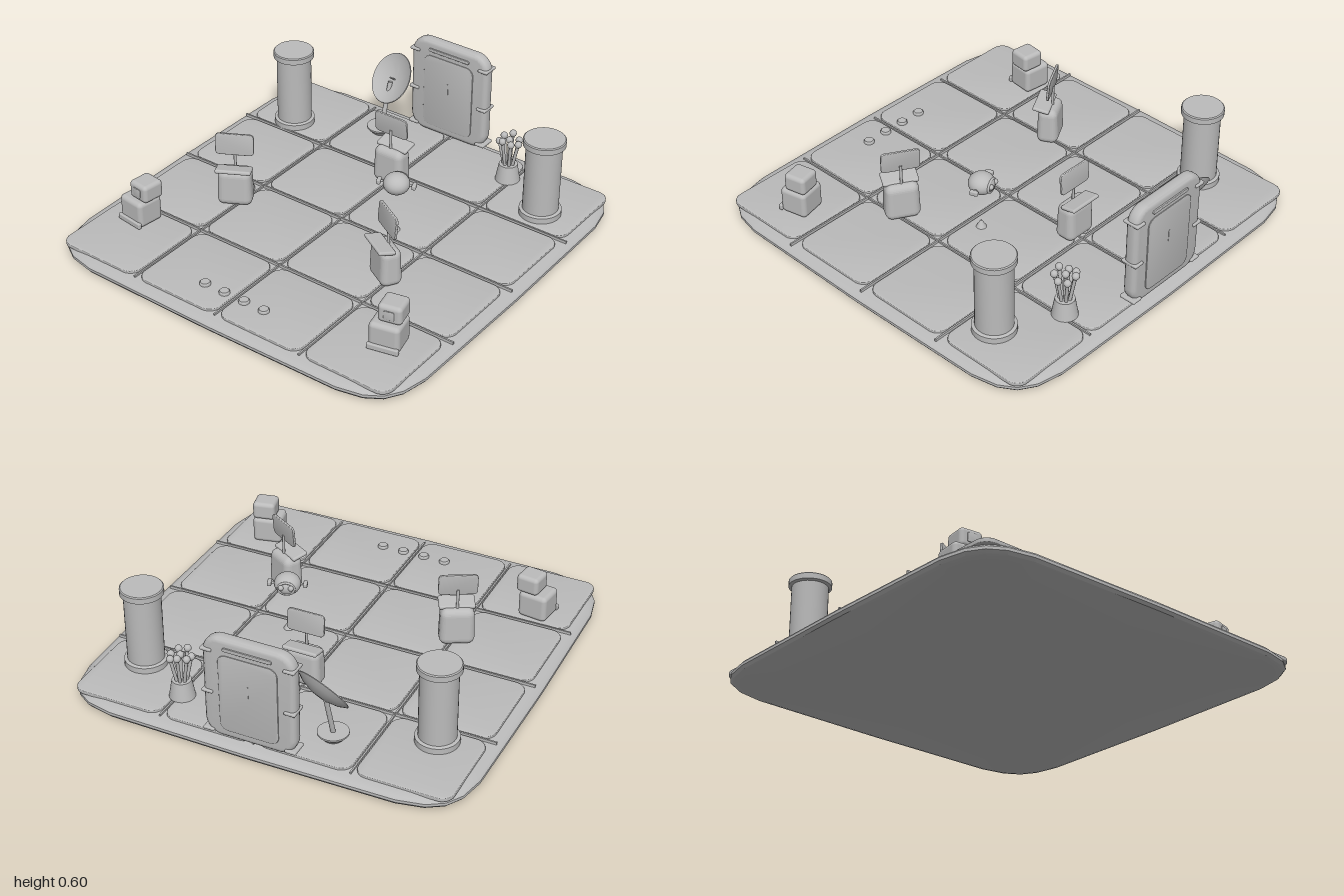
import * as THREE from 'three';
import { toCreasedNormals } from 'three/addons/utils/BufferGeometryUtils.js';
import { RoundedBoxGeometry } from 'three/addons/geometries/RoundedBoxGeometry.js';

const grey = new THREE.MeshStandardMaterial({ color: 0xbbbbbb, side: THREE.DoubleSide });
grey.name = 'plainGrey';

function add(parent, name, geometry, x = 0, y = 0, z = 0) {
  const mesh = new THREE.Mesh(geometry, grey);
  mesh.name = name;
  mesh.position.set(x, y, z);
  parent.add(mesh);
  return mesh;
}

function group(parent, name, x, y, z, turn = 0) {
  const g = new THREE.Group();
  g.name = name;
  g.position.set(x, y, z);
  g.rotation.y = turn;
  parent.add(g);
  return g;
}

// Upright plate with rounded corners and edges, centred on its origin
function plate(w, h, d, r, bevel) {
  const a = w / 2 - bevel, b = h / 2 - bevel, c = Math.max(r - bevel, 0.002);
  const s = new THREE.Shape();
  s.moveTo(-a + c, -b);
  s.absarc(a - c, -b + c, c, -Math.PI / 2, 0);
  s.absarc(a - c, b - c, c, 0, Math.PI / 2);
  s.absarc(-a + c, b - c, c, Math.PI / 2, Math.PI);
  s.absarc(-a + c, -b + c, c, Math.PI, Math.PI * 1.5);
  const depth = d - 2 * bevel;
  const geo = new THREE.ExtrudeGeometry(s, {
    depth, bevelThickness: bevel, bevelSize: bevel, bevelSegments: 3, curveSegments: 6,
  });
  geo.translate(0, 0, -depth / 2);
  return toCreasedNormals(geo, 0.6);
}

const lathe = (points, n = 32) =>
  toCreasedNormals(new THREE.LatheGeometry(points.map(p => new THREE.Vector2(...p)), n), 0.6);

// Squarish slab: superellipse rings stacked along a rim profile
function slab(profile, n) {
  const pos = [], index = [];
  const f = v => Math.sign(v) * Math.sqrt(Math.sqrt(Math.abs(v)));
  for (const [s, y] of profile)
    for (let i = 0; i < n; i++) {
      const t = (i / n) * Math.PI * 2;
      pos.push(s * f(Math.cos(t)), y, s * f(Math.sin(t)));
    }
  for (let k = 0; k < profile.length - 1; k++)
    for (let i = 0; i < n; i++) {
      const a = k * n + i, b = k * n + (i + 1) % n;
      index.push(a, a + n, b, b, a + n, b + n);
    }
  const geo = new THREE.BufferGeometry();
  geo.setAttribute('position', new THREE.Float32BufferAttribute(pos, 3));
  geo.setIndex(index);
  return toCreasedNormals(geo, 0.6);
}

function rod(parent, name, from, to, r) {
  const a = new THREE.Vector3(...from), b = new THREE.Vector3(...to);
  const m = add(parent, name, new THREE.CylinderGeometry(r, r, a.distanceTo(b), 10));
  m.position.copy(a).add(b).multiplyScalar(0.5);
  m.quaternion.setFromUnitVectors(new THREE.Vector3(0, 1, 0), b.sub(a).normalize());
}

function buildFloor(root) {
  const g = group(root, 'floor', 0, 0, 0);
  add(g, 'floorSlab', slab([[0, 0], [0.965, 0], [0.99, 0.008], [1, 0.022], [1, 0.036],
    [0.99, 0.048], [0.965, 0.058], [0, 0.058]], 24));
  const tile = plate(0.453, 0.453, 0.022, 0.06, 0.006).rotateX(-Math.PI / 2);
  for (const x of [-0.714, -0.238, 0.238, 0.714])
    for (const z of [-0.714, -0.238, 0.238, 0.714]) add(g, 'floorTile', tile, x, 0.06, z);
  for (const p of [-0.476, 0, 0.476]) {
    add(g, 'crossSeam', new THREE.BoxGeometry(1.94, 0.014, 0.008), 0, 0.066, p);
    add(g, 'lengthSeam', new THREE.BoxGeometry(0.008, 0.01, 1.88), p, 0.062, 0);
  }
}

function buildDoor(root) {
  const g = group(root, 'backDoor', 0, 0.338, -0.935);
  add(g, 'doorPanel', plate(0.45, 0.525, 0.065, 0.085, 0.022));
  for (const s of [1, -1]) {
    add(g, 'doorInset', plate(0.29, 0.4, 0.008, 0.04, 0.002), 0, -0.02, s * 0.033);
    add(g, 'doorSlot', plate(0.24, 0.018, 0.014, 0.009, 0.004), 0, 0.212, s * 0.034);
    add(g, 'doorMark', new THREE.BoxGeometry(0.006, 0.06, 0.004), 0, 0.02, s * 0.037);
    for (const y of [0.19, -0.03, -0.235])
      add(g, 'doorClip', new RoundedBoxGeometry(0.055, 0.016, 0.085, 2, 0.006), s * 0.202, y, 0);
  }
}

function buildPillar(root, x, z) {
  add(root, 'pillar', lathe([[0, 0.07], [0.103, 0.07], [0.103, 0.1], [0.088, 0.105], [0.088, 0.452],
    [0.103, 0.457], [0.103, 0.485], [0.098, 0.49], [0, 0.49]]), x, 0, z);
}

function buildDish(root) {
  const g = group(root, 'dishAntenna', -0.305, 0, -0.757);
  add(g, 'dishFoot', lathe([[0, 0.07], [0.045, 0.07], [0.073, 0.1], [0.073, 0.108], [0, 0.108]]));
  rod(g, 'dishStem', [0, 0.1, 0], [0.01, 0.34, -0.06], 0.012);
  const head = group(g, 'dishHead', 0.02, 0.36, -0.065);
  head.quaternion.setFromUnitVectors(new THREE.Vector3(0, 1, 0),
    new THREE.Vector3(-0.28, 0.57, 0.77).normalize());
  add(head, 'dishBowl', lathe([[0, -0.028], [0.05, -0.024], [0.1, -0.01], [0.134, 0.008],
    [0.132, 0.012], [0.1, -0.004], [0.05, -0.017], [0, -0.021]]));
  add(head, 'dishFeed', new THREE.CylinderGeometry(0.004, 0.004, 0.04, 8), 0, 0, 0);
}

function buildPlant(root) {
  const g = group(root, 'bulbPlant', 0.455, 0, -0.77);
  add(g, 'plantPot', lathe([[0, 0.07], [0.062, 0.07], [0.046, 0.16], [0, 0.16]], 24));
  const bulb = new THREE.SphereGeometry(0.018, 14, 10);
  for (let i = 0; i < 8; i++) {
    const a = (i / 7) * Math.PI * 2, r = i === 7 ? 0 : 0.05;
    const tip = [Math.cos(a) * r, 0.285 + (i % 3) * 0.01, Math.sin(a) * r];
    rod(g, 'plantStem', [tip[0] * 0.45, 0.15, tip[2] * 0.45], tip, 0.008);
    add(g, 'plantBulb', bulb, ...tip);
  }
}

// Pedestal with a sloping desk and a thin screen on a stem
function buildConsole(root, x, z, turn) {
  const g = group(root, 'console', x, 0, z, turn);
  const body = new RoundedBoxGeometry(0.172, 0.19, 0.11, 4, 0.035);
  const p = body.attributes.position;
  for (let i = 0; i < p.count; i++) {
    const k = 1 - 0.7 * (p.getY(i) + 0.095);
    p.setX(i, p.getX(i) * (0.5 + 0.5 * k));
    p.setZ(i, p.getZ(i) * k);
  }
  body.computeVertexNormals();
  add(g, 'consoleBody', body, 0, 0.165, 0);
  const desk = add(g, 'consoleDesk', new RoundedBoxGeometry(0.175, 0.02, 0.085, 3, 0.009), 0, 0.265, 0.03);
  desk.rotation.x = -0.2;
  rod(g, 'screenStem', [0, 0.25, -0.012], [0, 0.36, -0.012], 0.007);
  const screen = add(g, 'screen', plate(0.188, 0.112, 0.012, 0.02, 0.003), 0, 0.387, -0.008);
  screen.rotation.x = -0.08;
}

function buildCrates(root, x, z, turn, dx, dz) {
  const g = group(root, 'crateStack', x, 0.07, z, turn);
  add(g, 'lowerCrate', new RoundedBoxGeometry(0.148, 0.135, 0.14, 4, 0.022), 0, 0.0675, -0.005);
  add(g, 'crateLip', new RoundedBoxGeometry(0.15, 0.03, 0.02, 2, 0.006), 0, 0.018, 0.068);
  add(g, 'upperCrate', new RoundedBoxGeometry(0.115, 0.092, 0.115, 4, 0.02), dx, 0.18, dz);
  add(g, 'crateLabel', plate(0.05, 0.045, 0.006, 0.008, 0.002), dx, 0.18, dz + 0.058);
}

function buildDrone(root) {
  const g = group(root, 'hoverDrone', 0.267, 0.33, -0.08, 0.34);
  add(g, 'droneBody', new THREE.SphereGeometry(0.064, 28, 18)).scale.y = 0.82;
  for (const s of [1, -1]) {
    rod(g, 'droneArm', [s * 0.05, 0, 0], [s * 0.08, 0, 0], 0.006);
    add(g, 'dronePod', new RoundedBoxGeometry(0.02, 0.025, 0.04, 2, 0.006), s * 0.086, 0, 0);
    add(g, 'droneLens', new THREE.SphereGeometry(0.014, 12, 8), s * 0.024, 0.008, -0.058);
  }
  const ring = add(g, 'droneCollar', new THREE.TorusGeometry(0.038, 0.007, 8, 24), 0, 0, -0.05);
  ring.scale.y = 0.82;
  add(root, 'marker', new THREE.ConeGeometry(0.026, 0.045, 16), 0.267, 0.092, -0.075);
}

export function createModel() {
  const root = new THREE.Group();
  root.name = 'controlDeck';
  buildFloor(root);
  buildDoor(root);
  buildPillar(root, -0.727, -0.575);
  buildPillar(root, 0.74, -0.612);
  buildDish(root);
  buildPlant(root);
  buildConsole(root, 0, -0.42, Math.PI);
  buildConsole(root, -0.495, 0.185, 0.5);
  buildConsole(root, 0.455, 0.265, -0.53);
  buildCrates(root, -0.762, 0.575, -0.13, 0.032, -0.018);
  buildCrates(root, 0.747, 0.65, 0.22, 0.015, -0.02);
  buildDrone(root);
  // Row of floor buttons
  for (let i = 0; i < 4; i++)
    add(root, 'floorButton', lathe([[0, 0.065], [0.026, 0.065], [0.026, 0.08], [0.022, 0.086], [0, 0.086]], 20),
      -0.172 + i * 0.114, 0, 0.797);
  return root;
}
